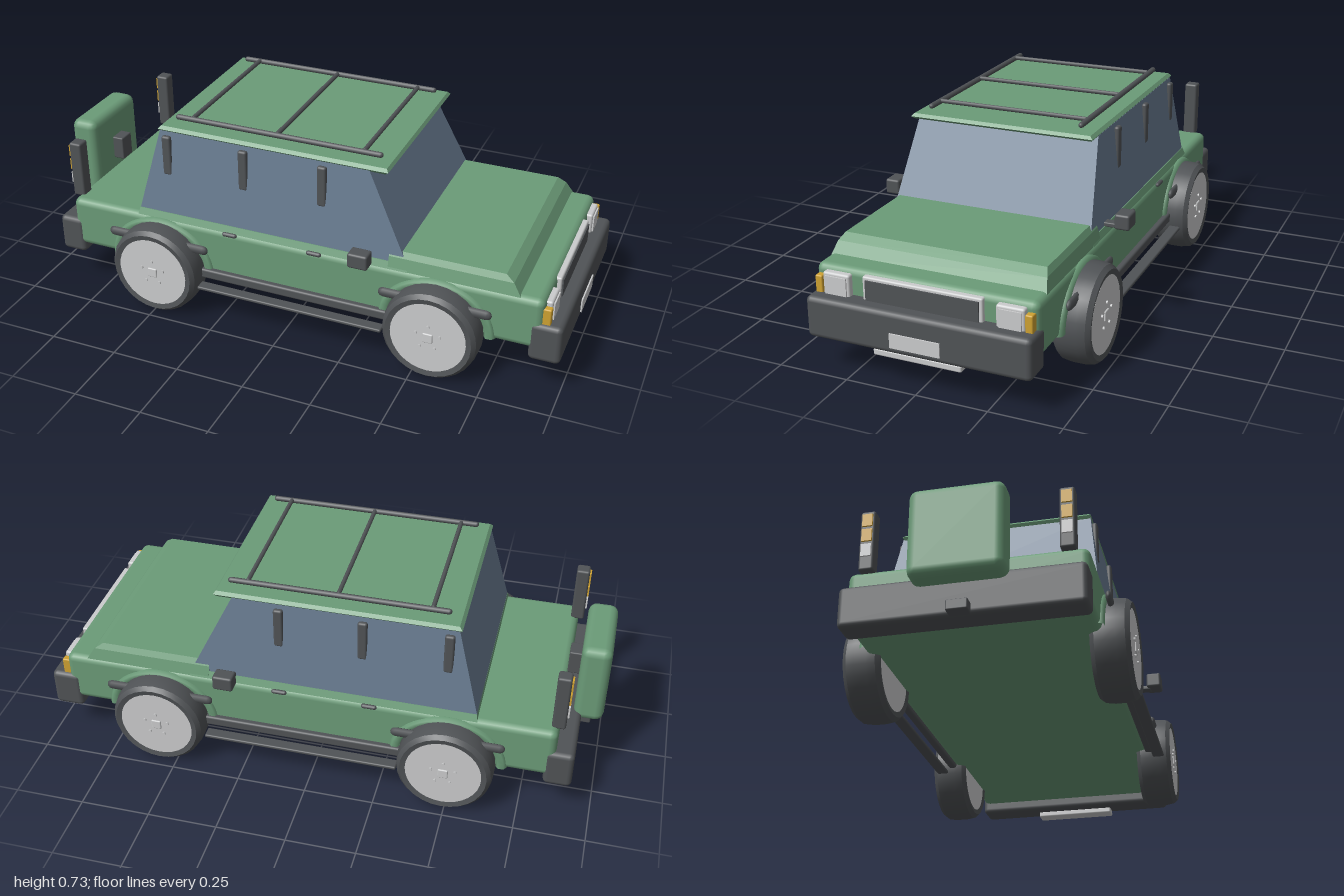
import * as THREE from 'three';
import { toCreasedNormals } from 'three/addons/utils/BufferGeometryUtils.js';
import { RoundedBoxGeometry } from 'three/addons/geometries/RoundedBoxGeometry.js';

const paint = (name, color) => {
  const m = new THREE.MeshStandardMaterial({ color });
  m.name = name;
  return m;
};

export function createModel() {
  const car = new THREE.Group();
  car.name = 'offRoadCar';
  const green = paint('bodyGreen', 0x6b9b78);
  const glass = paint('windowBlue', 0x6a7d92);
  const dark = paint('trimGrey', 0x505356);
  const light = paint('lightGrey', 0xcbcccd);
  const amber = paint('amber', 0xcfa232);

  const add = (name, geometry, material, parent = car) => {
    const mesh = new THREE.Mesh(geometry, material);
    mesh.name = name;
    parent.add(mesh);
    return mesh;
  };
  // Box between opposite corners, optionally with bevelled edges
  const box = (name, material, [x0, x1], [y0, y1], [z0, z1], r = 0, parent = car) => {
    const size = [x1 - x0, y1 - y0, z1 - z0];
    const g = r ? new RoundedBoxGeometry(...size, 2, r) : new THREE.BoxGeometry(...size);
    g.translate((x0 + x1) / 2, (y0 + y1) / 2, (z0 + z1) / 2);
    return add(name, g, material, parent);
  };
  // Block whose bottom and top rectangles differ: [x0, x1, half depth]
  const frustum = (name, material, y0, y1, bottom, top) => {
    const g = new THREE.BoxGeometry(1, 1, 1).toNonIndexed();
    const p = g.attributes.position;
    for (let i = 0; i < p.count; i++) {
      const up = p.getY(i) > 0;
      const [a, b, d] = up ? top : bottom;
      p.setXYZ(i, p.getX(i) > 0 ? b : a, up ? y1 : y0, p.getZ(i) > 0 ? d : -d);
    }
    g.computeVertexNormals();
    return add(name, g, material);
  };
  // Round bar along x or z
  const bar = (name, axis, length, r, x, y, z) => {
    const g = new THREE.CapsuleGeometry(r, length - 2 * r, 3, 8);
    if (axis === 'x') g.rotateZ(Math.PI / 2);
    else g.rotateX(Math.PI / 2);
    const mesh = add(name, g, dark);
    mesh.position.set(x, y, z);
    return mesh;
  };

  // Body, bonnet, cabin and roof
  box('lowerBody', green, [-0.86, 0.925], [0.165, 0.358], [-0.39, 0.39], 0.025);
  frustum('bonnet', green, 0.35, 0.395, [0.38, 0.845, 0.382], [0.38, 0.815, 0.37]);
  frustum('bonnetTop', green, 0.395, 0.416, [0.38, 0.815, 0.37], [0.38, 0.785, 0.358]);
  frustum('beltLine', green, 0.35, 0.375, [-0.585, 0.45, 0.383], [-0.58, 0.45, 0.373]);
  frustum('cabinGlass', glass, 0.374, 0.685, [-0.58, 0.445, 0.37], [-0.498, 0.292, 0.335]);
  frustum('roofEdge', green, 0.68, 0.69, [-0.5, 0.345, 0.33], [-0.506, 0.358, 0.338]);
  frustum('roof', green, 0.69, 0.701, [-0.506, 0.358, 0.338], [-0.495, 0.35, 0.328]);

  // Roof rack
  for (const z of [-0.28, 0.28]) bar('rackRail', 'x', 0.78, 0.01, -0.07, 0.721, z);
  for (const x of [-0.395, -0.07, 0.25]) bar('rackCrossbar', 'z', 0.56, 0.008, x, 0.724, 0);

  // Bumpers, plate, skid and tow hitch
  box('frontBumper', dark, [0.882, 0.993], [0.124, 0.268], [-0.393, 0.393], 0.018);
  box('frontPlate', light, [0.99, 0.998], [0.148, 0.198], [-0.088, 0.088]);
  box('skidPlate', light, [0.925, 0.985], [0.104, 0.128], [-0.155, 0.155], 0.006);
  box('rearBumper', dark, [-0.925, -0.825], [0.13, 0.272], [-0.393, 0.393], 0.018);
  box('towHitch', dark, [-0.96, -0.85], [0.132, 0.168], [-0.035, 0.035], 0.005);

  // Grille
  box('grilleFrame', light, [0.9, 0.94], [0.255, 0.347], [-0.21, 0.21], 0.006);
  box('grille', dark, [0.938, 0.945], [0.26, 0.336], [-0.198, 0.198]);

  // Spare wheel cover and its bracket
  box('spareWheelCover', green, [-1, -0.895], [0.24, 0.55], [-0.155, 0.155], 0.03);
  box('spareBracket', dark, [-0.9, -0.853], [0.35, 0.44], [-0.033, 0.033], 0.005);

  // Wheel profile: closed ring of radius and depth
  const tyreProfile = [
    [0.13, -0.06], [0.153, -0.065], [0.166, -0.05], [0.171, -0.02], [0.171, 0.02],
    [0.166, 0.05], [0.153, 0.065], [0.13, 0.06], [0.13, -0.06],
  ].map(([r, y]) => new THREE.Vector2(r, y));
  const tyreGeometry = toCreasedNormals(new THREE.LatheGeometry(tyreProfile, 28).rotateX(Math.PI / 2), 0.35);

  for (const side of [1, -1]) {
    const span = (a, b) => (side > 0 ? [a, b] : [-b, -a]);

    for (const x of [-0.49, 0.56]) {
      // Wheel with rim, hub and bolts
      const wheel = new THREE.Group();
      wheel.name = 'wheel';
      wheel.position.set(x, 0.172, side * 0.41);
      if (side < 0) wheel.rotation.y = Math.PI;
      car.add(wheel);
      add('tyre', tyreGeometry, dark, wheel);
      add('rim', new THREE.CylinderGeometry(0.134, 0.134, 0.122, 32).rotateX(Math.PI / 2), light, wheel);
      box('hub', light, [-0.018, 0.018], [-0.018, 0.018], [0.05, 0.066], 0.004, wheel);
      for (let i = 0; i < 5; i++) {
        const a = Math.PI / 2 + (i * Math.PI * 2) / 5;
        const bolt = add('wheelBolt', new THREE.CylinderGeometry(0.006, 0.006, 0.012, 6).rotateX(Math.PI / 2), light, wheel);
        bolt.position.set(Math.cos(a) * 0.045, Math.sin(a) * 0.045, 0.061);
      }
      // Wheel arch and guard bar
      const arch = add('wheelArch', new THREE.TorusGeometry(0.165, 0.018, 6, 24, Math.PI), green);
      arch.position.set(x, 0.172, side * 0.385);
      arch.scale.x = 1.15;
      const guard = bar('archGuard', 'x', 0.4, 0.019, x, 0.277, side * 0.415);
      guard.scale.z = 0.55;
    }

    // Sill and side step
    box('sill', dark, [-0.335, 0.405], [0.155, 0.192], span(0.38, 0.41), 0.008);
    box('sideStep', dark, [-0.32, 0.385], [0.13, 0.143], span(0.41, 0.453), 0.005);

    // Window pillars
    for (const x of [-0.468, -0.171, 0.125])
      box('windowPillar', dark, [x - 0.017, x + 0.017], [0.52, 0.672], span(0.335, 0.355), 0.008);

    // Door handles
    for (const x of [-0.208, 0.115]) bar('doorHandle', 'x', 0.056, 0.008, x, 0.354, side * 0.397);

    // Mirror
    box('mirrorArm', dark, [0.28, 0.315], [0.372, 0.388], span(0.355, 0.425), 0.004);
    box('mirror', dark, [0.264, 0.336], [0.376, 0.431], span(0.412, 0.466), 0.008);

    // Headlamp and indicator
    box('headlamp', light, [0.9, 0.945], [0.255, 0.341], span(0.255, 0.352), 0.008);
    box('headlampLens', light, [0.944, 0.95], [0.265, 0.33], span(0.265, 0.342));
    box('indicator', amber, [0.9, 0.948], [0.258, 0.326], span(0.353, 0.379), 0.005);

    // Tail lamp
    box('tailLamp', dark, [-0.88, -0.832], [0.35, 0.566], span(0.3, 0.35), 0.008);
    for (const y of [0.42, 0.475, 0.53])
      box('tailLampLens', y < 0.45 ? light : amber, [-0.886, -0.878], [y - 0.022, y + 0.022], span(0.308, 0.342));
  }
  return car;
}
